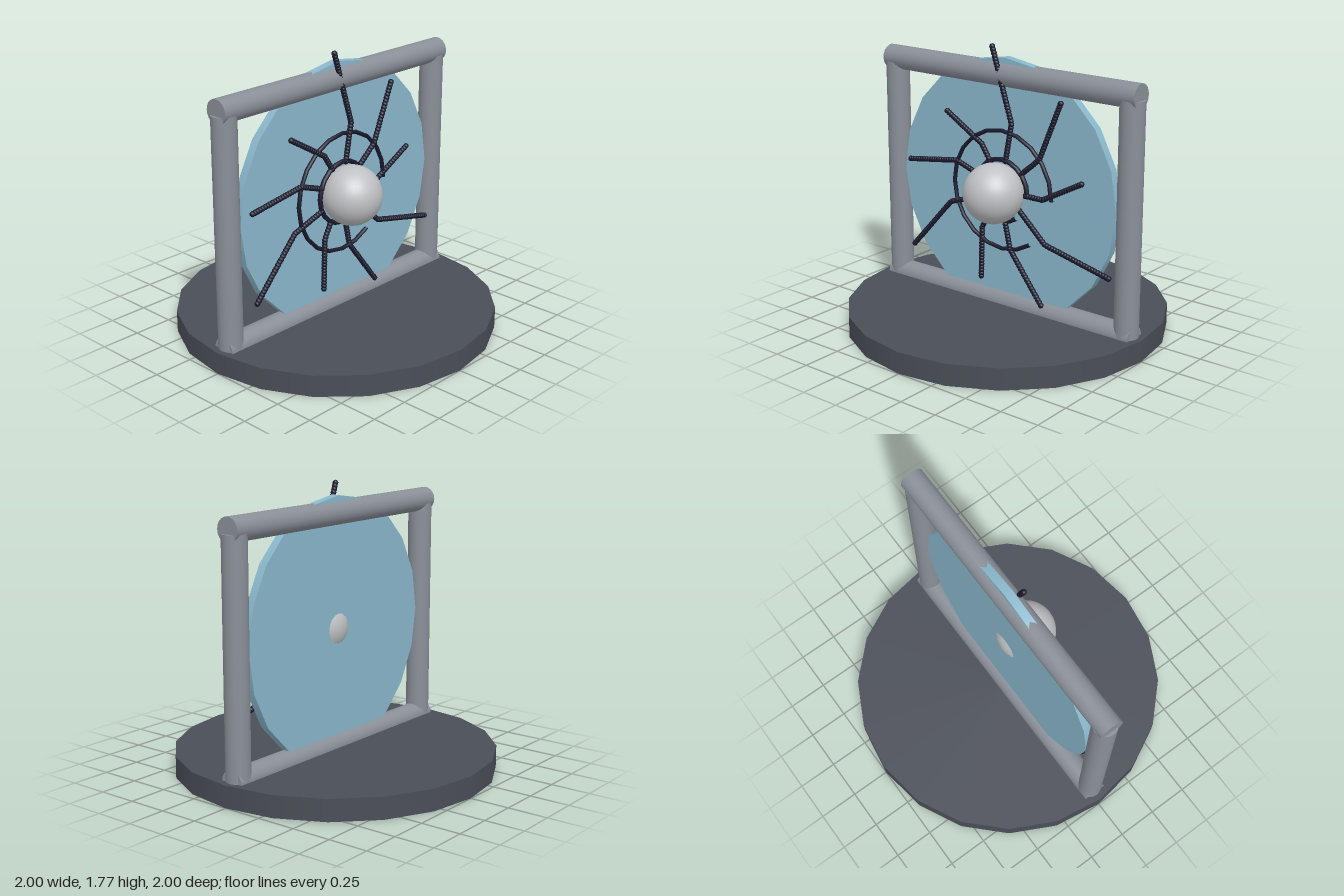
import * as THREE from 'three';
import { mergeGeometries } from 'three/addons/utils/BufferGeometryUtils.js';

const mat = (name, color) => {
  const m = new THREE.MeshStandardMaterial({ color });
  m.name = name;
  return m;
};

export function createModel() {
  const group = new THREE.Group();
  const baseGrey = mat('darkGrey', 0x4a4e57);
  const frameGrey = mat('midGrey', 0x8a8f98);
  const paneBlue = mat('paleBlue', 0x8ab8cc);
  const orbGrey = mat('lightGrey', 0xbfc1c4);
  const ink = mat('inkBlack', 0x1a1a2e);
  const CY = 0.872; // height of the disc centre
  const FRONT = 0.055; // depth of the dark tracery

  const add = (name, geometry, material, x = 0, y = 0, z = 0) => {
    const mesh = new THREE.Mesh(geometry, material);
    mesh.name = name;
    mesh.position.set(x, y, z);
    group.add(mesh);
    return mesh;
  };

  // Round base
  add('base', new THREE.CylinderGeometry(1, 1, 0.135, 20), baseGrey, 0, 0.0675);

  // Frame of round bars
  for (const s of [-1, 1]) {
    add(s > 0 ? 'leftPost' : 'rightPost',
      new THREE.CylinderGeometry(0.075, 0.075, 1.42, 20), frameGrey, s * 0.89, 0.845);
  }
  for (const [name, y] of [['bottomRail', 0.135], ['topRail', 1.58]]) {
    add(name, new THREE.CylinderGeometry(0.075, 0.075, 1.89, 20), frameGrey, 0, y).rotation.z = Math.PI / 2;
  }

  // Upright disc and the orb set into it
  add('disc', new THREE.CylinderGeometry(0.815, 0.815, 0.054, 20), paneBlue, 0, CY).rotation.x = Math.PI / 2;
  add('orb', new THREE.SphereGeometry(0.187, 32, 20), orbGrey, 0, CY, 0.135);

  // Open rings around the orb
  for (const [name, r, t] of [['innerRing', 0.195, 0.015], ['outerRing', 0.375, 0.013]]) {
    add(name, new THREE.TorusGeometry(r, t, 8, 17, Math.PI * 1.7), ink, 0, CY, FRONT);
  }

  // Rows of overlapping beads along a bent line
  const beadRow = (points, radius) => {
    const path = new THREE.CurvePath();
    const v = points.map(([x, y]) => new THREE.Vector3(x, y, FRONT));
    for (let i = 1; i < v.length; i++) path.add(new THREE.LineCurve3(v[i - 1], v[i]));
    const n = Math.round(path.getLength() / 0.02);
    const beads = [];
    for (let i = 0; i <= n; i++) {
      const p = path.getPointAt(i / n);
      beads.push(new THREE.SphereGeometry(radius, 8, 6).translate(p.x, p.y, p.z));
    }
    return mergeGeometries(beads);
  };

  // Bent spokes: start, elbow, tip
  const spokes = [
    [[0.18, 0.87], [0.31, 0.87], [0.59, 1.02]],
    [[0.15, 1.0], [0.285, 1.115], [0.435, 1.475]],
    [[0.03, 1.06], [0.075, 1.3], [-0.07, 1.75]],
    [[-0.09, 1.04], [-0.155, 1.14], [-0.43, 1.305]],
    [[-0.18, 0.94], [-0.355, 1.0], [-0.745, 0.943]],
    [[-0.18, 0.795], [-0.41, 0.72], [-0.725, 0.373]],
    [[-0.11, 0.69], [-0.155, 0.605], [-0.165, 0.277]],
    [[0.025, 0.68], [0.065, 0.505], [0.305, 0.195]],
    [[0.135, 0.77], [0.33, 0.592], [0.793, 0.487]],
  ];
  spokes.forEach((p, i) => add('spoke' + (i + 1), beadRow(p, 0.018), ink));

  return group;
}
